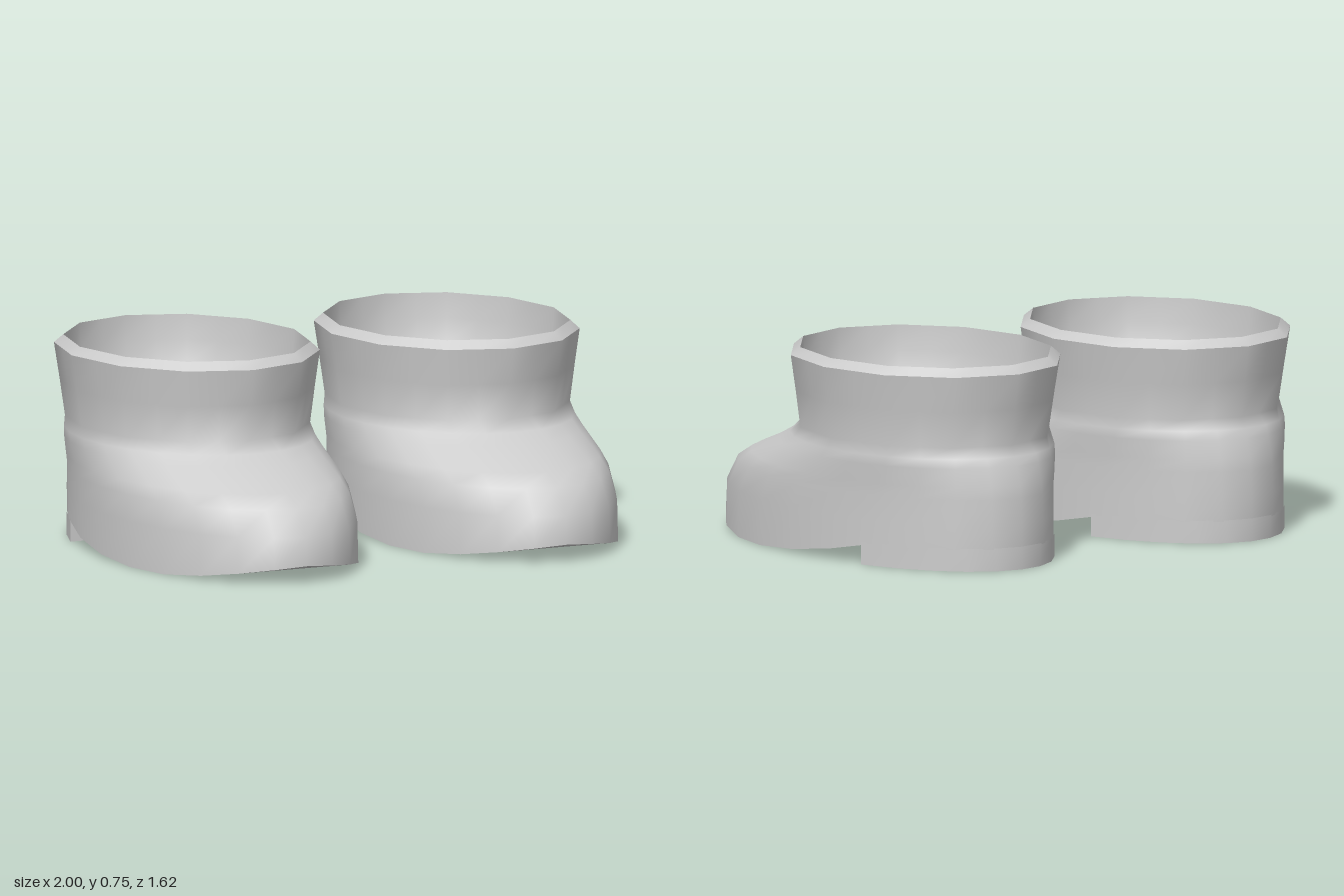
import * as THREE from 'three';

const N = 24;
const grey = new THREE.MeshStandardMaterial({ color: 0xcccccc });
grey.name = 'grey';

// point on an oval outline; angle runs from the toe (+z) towards +x
const oval = (a, rx, front, back, y) =>
  [rx * Math.sin(a), y, (front + back) / 2 + ((front - back) / 2) * Math.cos(a)];

// closed ring; a faceted ring is a twelve-sided oval with points on its chords
function ring(y, rx, front, back, faceted) {
  const pts = [];
  for (let j = 0; j < N; j++) pts.push(oval((j / N) * Math.PI * 2, rx, front, back, y));
  if (faceted) {
    for (let j = 1; j < N; j += 2) {
      const p = pts[j - 1], q = pts[(j + 1) % N];
      pts[j] = p.map((v, k) => (v + q[k]) / 2);
    }
  }
  return pts;
}

// skin rows of points with smooth quads
function loft(rows, closed) {
  const n = rows[0].length, index = [];
  for (let i = 0; i < rows.length - 1; i++) {
    for (let j = 0; j < (closed ? n : n - 1); j++) {
      const k = (j + 1) % n;
      const a = i * n + j, b = i * n + k, c = b + n, d = a + n;
      index.push(a, b, c, a, c, d);
    }
  }
  const g = new THREE.BufferGeometry();
  g.setAttribute('position', new THREE.Float32BufferAttribute(rows.flat(2), 3));
  g.setIndex(index);
  g.computeVertexNormals();
  return g;
}

// downward face spanning from one side of an outline to its mirror
const underside = (half) => loft([half.map(([x, y, z]) => [-x, y, z]), half], false);

// height of the sole along the foot, as [z, y]
const SOLE = [[0.81, 0.065], [0.77, 0.05], [0.64, 0.025], [0.46, 0], [0.2, 0],
  [0, 0.015], [-0.2, 0.04], [-0.365, 0.08], [-0.81, 0.08]];
function soleY(z) {
  for (let i = 0; i < SOLE.length - 1; i++) {
    const [z0, y0] = SOLE[i], [z1, y1] = SOLE[i + 1];
    if (z >= z1) return y0 + (y1 - y0) * Math.max(0, (z0 - z) / (z0 - z1));
  }
  return 0.08;
}

function createBoot() {
  const boot = new THREE.Group();
  const add = (name, geometry) => {
    const m = new THREE.Mesh(geometry, grey);
    m.name = name;
    boot.add(m);
    return m;
  };

  // foot and flared shaft
  const base = ring(0, 0.455, 0.81, -0.81).map(([x, , z]) => [x, soleY(z), z]);
  add('upper', loft([
    base,
    ring(0.17, 0.455, 0.80, -0.81),
    ring(0.265, 0.45, 0.73, -0.805),
    ring(0.31, 0.447, 0.64, -0.80),
    ring(0.38, 0.44, 0.45, -0.78),
    ring(0.415, 0.436, 0.37, -0.765),
    ring(0.455, 0.432, 0.315, -0.745, true),
    ring(0.59, 0.45, 0.332, -0.767, true),
    ring(0.725, 0.47, 0.35, -0.79, true),
  ], true));

  // bevelled rim
  add('rim', loft([
    ring(0.725, 0.47, 0.35, -0.79, true),
    ring(0.755, 0.437, 0.31, -0.75, true),
  ], true));

  // rounded hollow inside the shaft
  const bowl = [];
  for (let i = 0; i <= 10; i++) {
    const t = (i / 10) * Math.PI / 2, r = Math.cos(t);
    bowl.push(ring(0.755 - 0.6 * Math.sin(t), 0.437 * r, -0.22 + 0.53 * r, -0.22 - 0.53 * r, true));
  }
  add('lining', loft(bowl, true));

  // curved sole
  add('sole', underside(base.slice(0, N / 2 + 1)));

  // heel block: curved wall, flat base and step
  const start = Math.PI - Math.acos(0.365 / 0.81), steps = 10;
  const arc = (y) => Array.from({ length: steps + 1 }, (_, i) =>
    oval(start + (i / steps) * 2 * (Math.PI - start), 0.455, 0.81, -0.81, y));
  add('heelWall', loft([arc(0), arc(0.085)], false));
  add('heelBase', underside(arc(0).slice(0, steps / 2 + 1)));
  add('heelStep', new THREE.PlaneGeometry(0.91 * Math.sin(start), 0.08)).position.set(0, 0.04, -0.365);
  return boot;
}

export function createModel() {
  const model = new THREE.Group();
  model.name = 'boots';
  for (const side of [1, -1]) {
    const boot = createBoot();
    boot.name = side > 0 ? 'leftBoot' : 'rightBoot';
    boot.position.x = 0.53 * side;
    model.add(boot);
  }
  return model;
}
